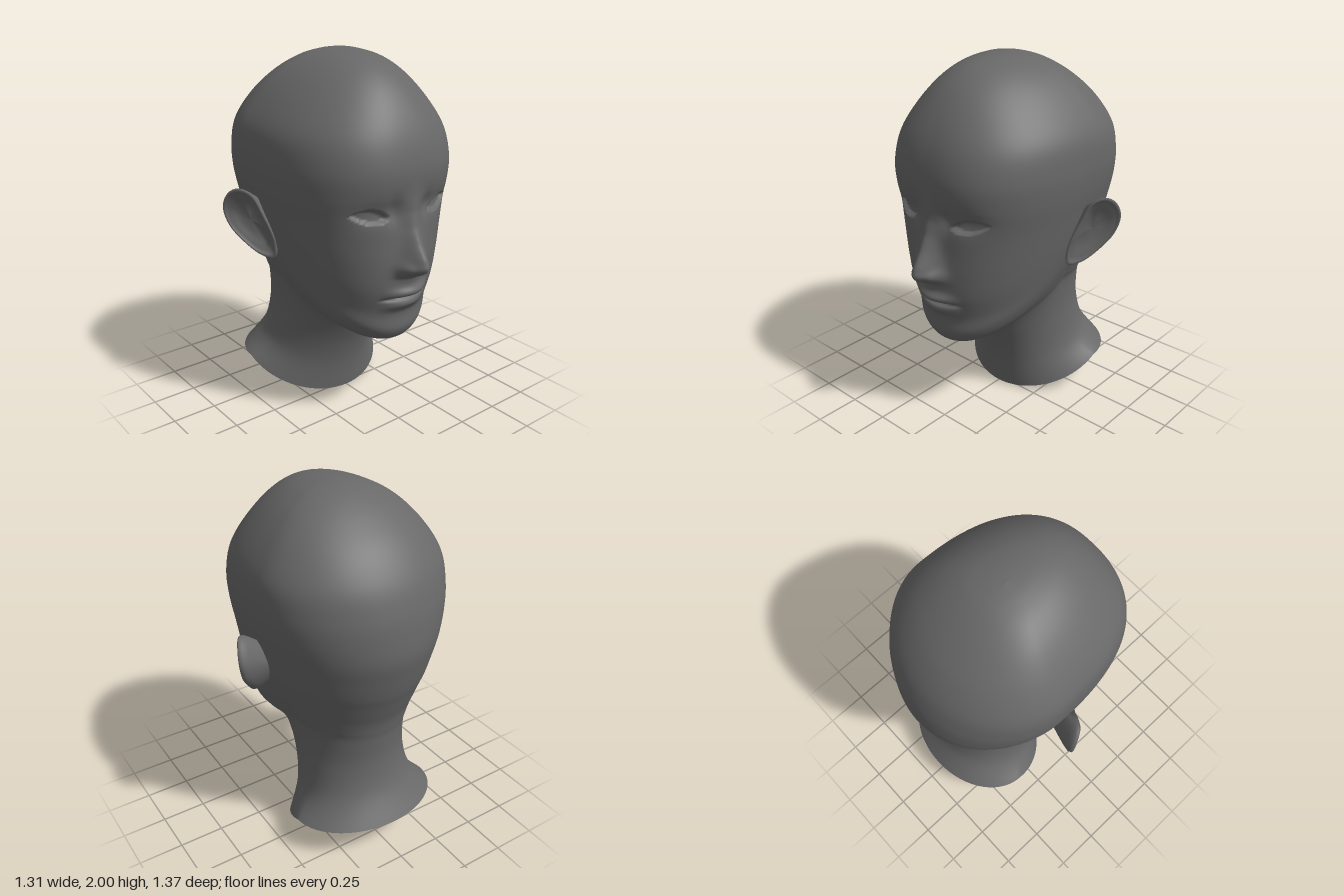
import * as THREE from 'three';

const material = new THREE.MeshStandardMaterial({ color: 0x686868, side: THREE.DoubleSide });

// Skins a list of closed loops (each an array of [x, y, z]) with smooth normals.
function loft(loops, name) {
  const n = loops[0].length, index = [];
  for (let i = 0; i < loops.length - 1; i++) {
    for (let j = 0; j < n; j++) {
      const a = i * n + j, b = i * n + (j + 1) % n;
      index.push(a, b, b + n, a, b + n, a + n);
    }
  }
  const g = new THREE.BufferGeometry();
  g.setAttribute('position', new THREE.Float32BufferAttribute(loops.flat(2), 3));
  g.setIndex(index);
  g.computeVertexNormals();
  const mesh = new THREE.Mesh(g, material);
  mesh.name = name;
  return mesh;
}

// Tilted rings from neck to crown: front y, z | side half-width, y, z | back y, z
const RINGS = [
  [0.00, 0.03, 0.43, 0.18, -0.35, 0.20, -0.67],
  [0.20, 0.06, 0.33, 0.29, -0.28, 0.36, -0.57],
  [0.38, 0.12, 0.30, 0.50, -0.22, 0.52, -0.532],
  [0.515, 0.21, 0.315, 0.70, -0.17, 0.68, -0.535],
  [0.485, 0.36, 0.35, 0.785, -0.13, 0.75, -0.545],
  [0.495, 0.46, 0.385, 0.86, -0.11, 0.82, -0.56],
  [0.56, 0.51, 0.41, 0.915, -0.10, 0.89, -0.585],
  [0.66, 0.515, 0.43, 0.97, -0.10, 0.96, -0.61],
  [0.80, 0.55, 0.45, 1.03, -0.11, 1.03, -0.635],
  [0.95, 0.56, 0.47, 1.10, -0.12, 1.13, -0.66],
  [1.15, 0.557, 0.497, 1.22, -0.14, 1.25, -0.682],
  [1.32, 0.57, 0.522, 1.35, -0.16, 1.37, -0.675],
  [1.46, 0.577, 0.53, 1.48, -0.17, 1.49, -0.652],
  [1.61, 0.543, 0.512, 1.62, -0.17, 1.63, -0.598],
  [1.75, 0.47, 0.43, 1.76, -0.15, 1.77, -0.495],
  [1.87, 0.37, 0.32, 1.88, -0.12, 1.88, -0.365],
  [1.95, 0.25, 0.205, 1.955, -0.08, 1.955, -0.24],
  [1.988, 0.11, 0.095, 1.99, -0.05, 1.988, -0.14],
  [2.00, -0.049, 0.001, 2.00, -0.05, 2.00, -0.051],
];

// Nose height along the centre line: y, projection
const NOSE = [
  [0.80, 0], [0.84, 0.015], [0.885, 0.025], [0.91, 0.08], [0.93, 0.112], [0.955, 0.127], [1.0, 0.113],
  [1.07, 0.073], [1.155, 0.035], [1.235, 0.013], [1.315, 0.004], [1.4, 0],
];

function noseHeight(y) {
  for (let i = 0; i < NOSE.length - 1; i++) {
    const [y0, h0] = NOSE[i], [y1, h1] = NOSE[i + 1];
    if (y >= y0 && y < y1) return THREE.MathUtils.lerp(h0, h1, (y - y0) / (y1 - y0));
  }
  return 0;
}

const bump = (dx, dy, sx, sy) => Math.exp(-((dx / sx) ** 2) - (dy / sy) ** 2);

// Forward offset that models nose, lips and eye sockets.
function faceRelief(px, y) {
  const x = Math.abs(px);
  // nose ridge, tip and wings
  const width = THREE.MathUtils.clamp(0.07 - 0.1 * (y - 0.95), 0.042, 0.07);
  let dz = noseHeight(y) * bump(x, 0, width, 1);
  dz += 0.026 * bump(x - 0.07, y - 0.945, 0.028, 0.035);
  // lips and the line between them
  const lip = Math.max(0, 1 - (x / 0.17) ** 2) ** 1.7;
  dz += lip * (0.043 * bump(0, y - 0.798, 1, 0.03) + 0.028 * bump(0, y - 0.725, 1, 0.032));
  dz -= 0.032 * Math.sqrt(lip) * bump(0, y - 0.765, 1, 0.009);
  // eye sockets
  dz -= 0.02 * bump(x - 0.2, y - 1.25, 0.12, 0.065);
  dz -= 0.018 * bump(x - 0.105, y - 1.25, 0.04, 0.07);
  // almond eye opening
  const d = (x - 0.225) / 0.1;
  const dy = y - 1.23 - 0.016 * d;
  const inside = (dy > 0 ? 0.04 : 0.034) * (1 - d * d) - Math.abs(dy);
  dz -= 0.025 * THREE.MathUtils.smoothstep(inside, -0.002, 0.008);
  return dz;
}

// Smooth blend between the control rings
function ringAt(i, t) {
  const at = k => RINGS[THREE.MathUtils.clamp(k, 0, RINGS.length - 1)];
  return at(i).map((p1, k) => {
    const p0 = at(i - 1)[k], p2 = at(i + 1)[k], p3 = at(i + 2)[k];
    return p1 + 0.5 * t * (p2 - p0 + t * (2 * p0 - 5 * p1 + 4 * p2 - p3 + t * (3 * (p1 - p2) + p3 - p0)));
  });
}

// One closed ring, with columns packed towards the face
function headLoop([yf, zf, w, ys, zs, yb, zb]) {
  const half = 90, loop = [];
  const fullness = 2 + 0.55 * bump(0, ys - 1.4, 1, 0.38); // squarer front at brow level
  for (let j = -half; j < half; j++) {
    const u = j / half;
    const a = Math.PI * Math.abs(u) ** 1.5;
    const front = Math.cos(a) > 0;
    const p = front ? 2 / fullness : 1;
    const s = Math.abs(Math.sin(a)) ** p, c = Math.abs(Math.cos(a)) ** p;
    const x = Math.sign(u) * w * s;
    const y = ys + ((front ? yf : yb) - ys) * c;
    let z = zs + ((front ? zf : zb) - zs) * c;
    if (front && z > 0.2) z += faceRelief(x, y);
    loop.push([x, y, z]);
  }
  return loop;
}

function createHead() {
  const loops = [];
  for (let i = 0; i < RINGS.length - 1; i++) {
    const steps = i >= 7 && i < 11 ? 18 : 7; // finer rows over the face
    for (let k = 0; k < steps; k++) loops.push(headLoop(ringAt(i, k / steps)));
  }
  loops.push(headLoop(RINGS[RINGS.length - 1]));
  return loft(loops, 'headAndNeck');
}

// Ear: the rim outline is repeated from the buried root, over the rim, into the bowl.
function createEar(side) {
  const rim = new THREE.CatmullRomCurve3([
    [0.455, 0.92, -0.01], [0.455, 0.99, 0], [0.475, 1.07, -0.005], [0.505, 1.17, -0.04],
    [0.55, 1.275, -0.075], [0.605, 1.31, -0.115], [0.638, 1.28, -0.165], [0.652, 1.2, -0.2],
    [0.63, 1.1, -0.185], [0.57, 1.0, -0.13], [0.505, 0.93, -0.06],
  ].map(p => new THREE.Vector3(...p)), true).getPoints(48).slice(0, -1);
  const centre = new THREE.Vector3(0.55, 1.12, -0.1);
  const root = new THREE.Vector3(0.44, 1.1, -0.08);
  const outward = new THREE.Vector3(0.72, 0, 0.69);
  // scale, depth along outward, shift towards the root
  const sections = [
    [0.35, -0.05, 1], [0.7, -0.032, 0.6], [0.88, -0.024, 0.2], [0.97, -0.015, 0.03], [1, 0, 0], [0.96, 0.008, 0],
    [0.9, 0.002, 0], [0.8, -0.008, 0], [0.66, -0.008, 0], [0.58, -0.02, 0], [0.3, -0.024, 0], [0.01, -0.024, 0],
  ];
  const loops = sections.map(([scale, depth, shift]) => {
    const middle = centre.clone().lerp(root, shift).addScaledVector(outward, depth);
    const loop = rim.map(p => {
      const q = p.clone().sub(centre).multiplyScalar(scale).add(middle);
      return [side * q.x, q.y, q.z];
    });
    return side > 0 ? loop.reverse() : loop;
  });
  return loft(loops, side > 0 ? 'leftEar' : 'rightEar');
}

export function createModel() {
  const model = new THREE.Group();
  model.name = 'headBust';
  model.add(createHead(), createEar(1), createEar(-1));
  return model;
}
